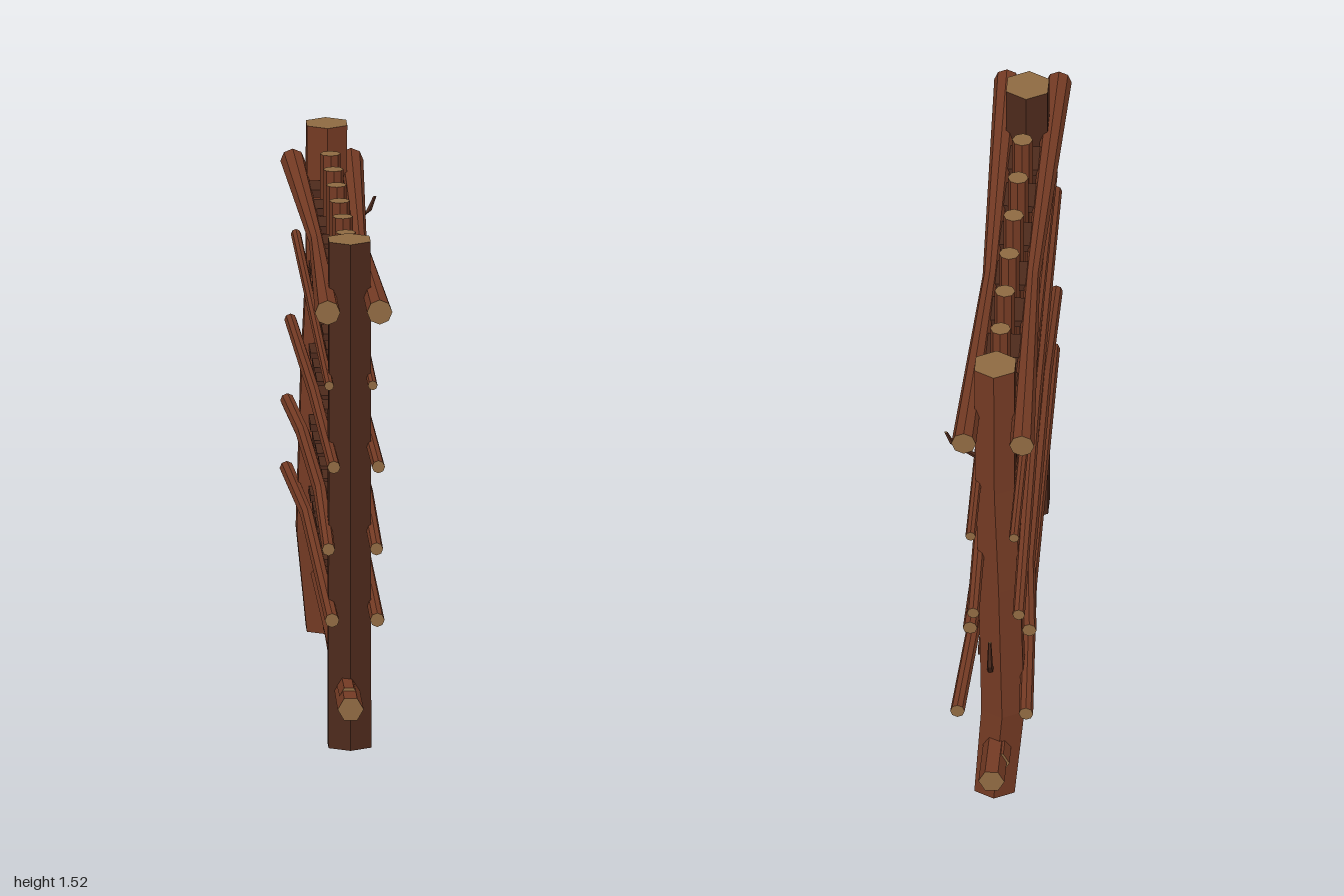
import * as THREE from 'three';

const material = (color) => new THREE.MeshStandardMaterial({ color, flatShading: true });
const darkBark = material(0x4e2a1c);
const redBark = material(0x753b24);
const cutWood = material(0x8f6a42);

// Faceted geometry from a flat list of points, three per triangle
function facets(points) {
  const geometry = new THREE.BufferGeometry().setFromPoints(points);
  geometry.computeVertexNormals();
  return geometry;
}

// A log through [x, y, z, radius] stations, ordered upward along its axis, with sawn ends
function log(name, axis, stations, sides, bark) {
  const rings = stations.map(([x, y, z, r]) =>
    Array.from({ length: sides }, (_, k) => {
      const a = (k / sides) * Math.PI * 2;
      const u = Math.cos(a) * r, v = Math.sin(a) * r;
      return axis === 'y'
        ? new THREE.Vector3(x + v, y, z + u)
        : new THREE.Vector3(x + u, y + v, z);
    }));
  const side = [], ends = [];
  for (let i = 0; i < rings.length - 1; i++) {
    for (let k = 0; k < sides; k++) {
      const n = (k + 1) % sides;
      const [a, b, c, d] = [rings[i][k], rings[i][n], rings[i + 1][n], rings[i + 1][k]];
      side.push(a, b, c, a, c, d);
    }
  }
  const first = rings[0], last = rings[rings.length - 1];
  for (let k = 1; k < sides - 1; k++) {
    ends.push(first[0], first[k + 1], first[k], last[0], last[k], last[k + 1]);
  }
  const group = new THREE.Group();
  group.name = name;
  const barkMesh = new THREE.Mesh(facets(side), bark);
  barkMesh.name = name + 'Bark';
  const endMesh = new THREE.Mesh(facets(ends), cutWood);
  endMesh.name = name + 'SawnEnds';
  group.add(barkMesh, endMesh);
  return group;
}

export function createModel() {
  const model = new THREE.Group();
  model.name = 'trellis';

  // Main posts: one straight, one crooked
  model.add(log('frontPost', 'y', [[-0.01, 0, 0.69, 0.072], [-0.01, 1.52, 0.69, 0.07]], 6, darkBark));
  model.add(log('backPost', 'y', [
    [-0.01, 0, -0.685, 0.068], [-0.035, 0.3, -0.69, 0.073], [-0.025, 0.75, -0.69, 0.07],
    [-0.012, 1.1, -0.69, 0.066], [-0.01, 1.52, -0.685, 0.068],
  ], 6, redBark));

  // Upright poles
  const poleZ = [0.47, 0.283, 0.098, -0.09, -0.275, -0.46];
  const poleFoot = [0.1, 0.1, 0.1, 0.11, 0.1, 0.12];
  poleZ.forEach((z, i) => model.add(
    log('uprightPole', 'y', [[-0.01, poleFoot[i], z, 0.03], [-0.01, 1.485, z, 0.03]], 8, redBark)));

  // Paired rails, [right x, left x, y, z, radius] from back to front
  const rails = {
    topRail: [[-0.1, 0.07, 1.362, -0.865, 0.036], [-0.072, 0.052, 1.335, 0, 0.022], [-0.085, 0.067, 1.36, 0.93, 0.037]],
    thinRail: [[-0.085, 0.042, 1.112, -0.98, 0.015], [-0.075, 0.052, 1.112, 0.82, 0.014]],
    slopingRail: [[-0.1, 0.033, 0.85, -1, 0.018], [-0.078, 0.05, 0.88, 0, 0.019], [-0.07, 0.06, 0.913, 1, 0.019]],
    bentRail: [
      [-0.118, 0.055, 0.656, -0.81, 0.021], [-0.09, 0.05, 0.645, -0.46, 0.021],
      [-0.08, 0.052, 0.688, 0.4, 0.021], [-0.08, 0.06, 0.637, 0.885, 0.019],
    ],
    lowRail: [[-0.115, 0.085, 0.427, -0.91, 0.021], [-0.085, 0.055, 0.44, -0.3, 0.02], [-0.07, 0.062, 0.425, 0.89, 0.021]],
  };
  for (const [name, path] of Object.entries(rails)) {
    model.add(log(name + 'Right', 'z', path.map(([x, , y, z, r]) => [x, y, z, r]), 8, redBark));
    model.add(log(name + 'Left', 'z', path.map(([, x, y, z, r]) => [x, y, z, r]), 8, redBark));
  }

  // Overlapping pair of ground rails
  model.add(log('groundRail', 'z', [
    [-0.015, 0.185, -0.92, 0.038], [-0.015, 0.16, 0, 0.034], [-0.02, 0.18, 0.98, 0.038]], 6, redBark));
  model.add(log('groundRailSplint', 'z', [
    [-0.025, 0.18, -0.82, 0.036], [-0.02, 0.168, 0, 0.03], [-0.02, 0.195, 0.88, 0.028]], 6, redBark));

  // Spacer blocks between the poles at every rail height
  const spacerZ = [0.55, 0.375, 0.19, 0.004, -0.182, -0.368, -0.565];
  const spacerGeometry = new THREE.BoxGeometry(0.11, 0.022, 0.115);
  const heightAt = (path, z) => {
    const i = Math.max(1, path.findIndex((p) => p[3] >= z));
    const [a, b] = [path[i - 1], path[i]];
    return THREE.MathUtils.lerp(a[2], b[2], (z - a[3]) / (b[3] - a[3]));
  };
  for (const path of Object.values(rails)) {
    for (const z of spacerZ) {
      const spacer = new THREE.Mesh(spacerGeometry, darkBark);
      spacer.name = 'spacer';
      spacer.position.set(-0.01, heightAt(path, z), z);
      model.add(spacer);
    }
  }

  // Dead twigs on the crooked post
  model.add(log('upperTwig', 'y', [
    [0.03, 1.19, -0.7, 0.012], [0.115, 1.25, -0.71, 0.008], [0.132, 1.29, -0.715, 0.005]], 5, darkBark));
  model.add(log('lowerTwig', 'y', [
    [0, 0.45, -0.735, 0.012], [0, 0.49, -0.768, 0.009], [0, 0.58, -0.776, 0.005]], 5, darkBark));

  return model;
}
